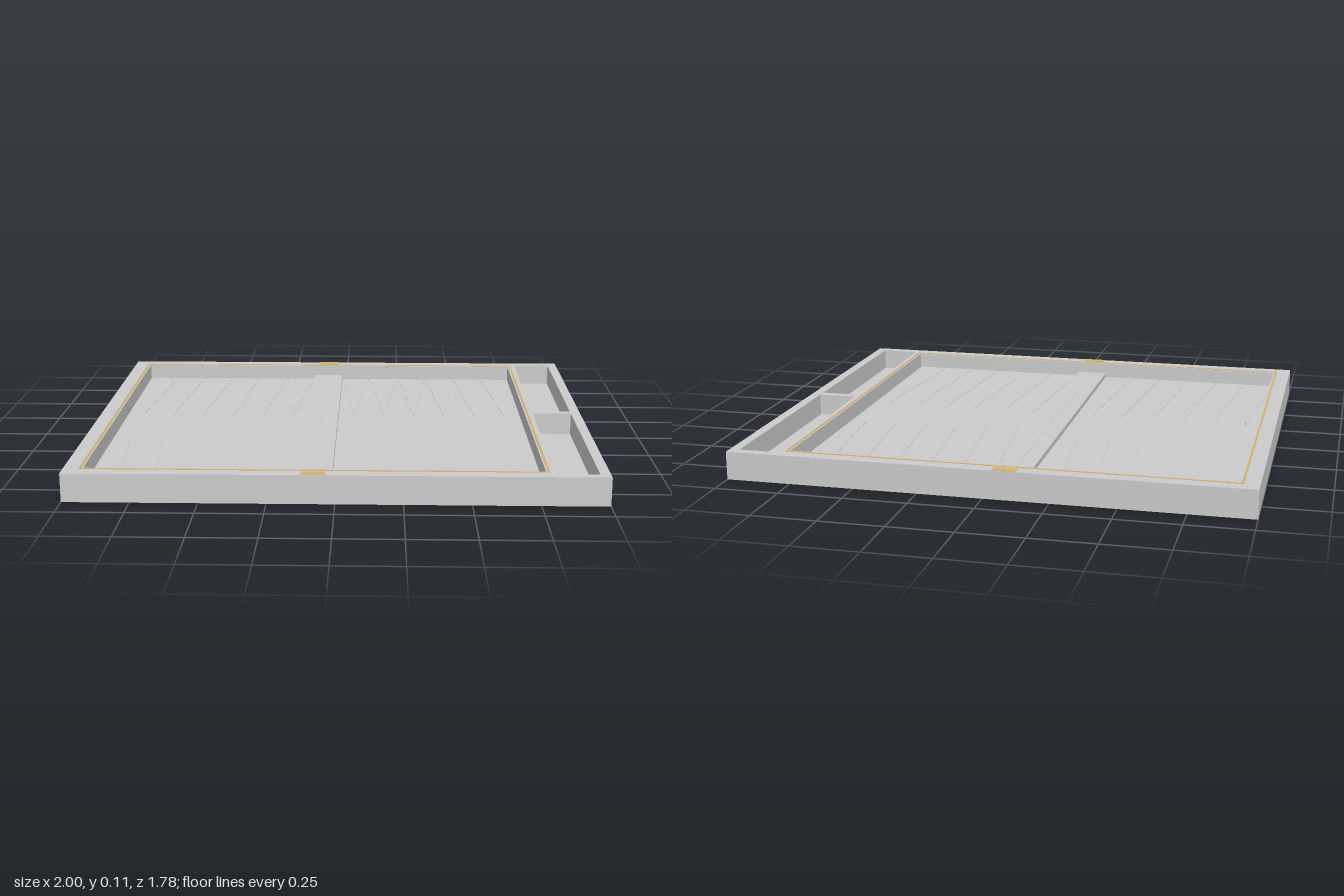
import * as THREE from 'three';

const grey = new THREE.MeshStandardMaterial({ color: 0xcccccc });
const brass = new THREE.MeshStandardMaterial({ color: 0xd2b470 });

// Main levels and the playing field's extents
const TOP = 0.11, FIELD_Y = 0.045, BAR_Y = 0.064, TRAY_Y = 0.022;
const FIELD = { x0: -0.927, x1: 0.768, z: 0.82 };
const BAR_MID = (FIELD.x0 + FIELD.x1) / 2;
const BAR = { x0: BAR_MID - 0.065, x1: BAR_MID + 0.065 };

// Counter-clockwise outline in plan
function rectangle(x0, x1, z0, z1, Type = THREE.Shape) {
  return new Type([[x0, z1], [x1, z1], [x1, z0], [x0, z0]].map(([x, z]) => new THREE.Vector2(x, -z)));
}

// Extrudes a plan outline upwards from y0 to y1
function slab(name, shape, y0, y1, material = grey) {
  const geometry = new THREE.ExtrudeGeometry(shape, { depth: y1 - y0, bevelEnabled: false });
  geometry.rotateX(-Math.PI / 2);
  const mesh = new THREE.Mesh(geometry, material);
  mesh.name = name;
  mesh.position.y = y0;
  return mesh;
}

function box(name, x0, x1, y0, y1, z0, z1, material = grey) {
  const mesh = new THREE.Mesh(new THREE.BoxGeometry(x1 - x0, y1 - y0, z1 - z0), material);
  mesh.name = name;
  mesh.position.set((x0 + x1) / 2, (y0 + y1) / 2, (z0 + z1) / 2);
  return mesh;
}

export function createModel() {
  const board = new THREE.Group();
  board.name = 'backgammonBoard';

  // Base plate, then the frame with the field and two checker trays cut out
  board.add(box('basePlate', -1, 1, 0, TRAY_Y, -0.89, 0.89));
  const outline = rectangle(-1, 1, -0.89, 0.89);
  outline.holes.push(
    rectangle(FIELD.x0, FIELD.x1, -FIELD.z, FIELD.z, THREE.Path),
    rectangle(0.802, 0.961, -0.852, -0.018, THREE.Path),
    rectangle(0.802, 0.961, 0.018, 0.852, THREE.Path)
  );
  board.add(slab('frame', outline, TRAY_Y, TOP));

  // Playing field
  board.add(box('playingField', FIELD.x0, FIELD.x1, TRAY_Y, FIELD_Y, -FIELD.z, FIELD.z));

  // Central bar with its fold strip
  board.add(box('bar', BAR.x0, BAR.x1, FIELD_Y, BAR_Y, -FIELD.z, FIELD.z));
  board.add(box('foldStrip', BAR_MID - 0.002, BAR_MID + 0.002, BAR_Y, BAR_Y + 0.001, -FIELD.z, FIELD.z));

  // Twenty-four thin points, six in each quadrant
  const points = new THREE.Group();
  points.name = 'points';
  for (const [x0, x1] of [[FIELD.x0, BAR.x0], [BAR.x1, FIELD.x1]]) {
    const width = (x1 - x0) / 6;
    for (const side of [-1, 1]) {
      for (let i = 0; i < 6; i++) {
        const left = x0 + i * width;
        const triangle = new THREE.Shape([
          new THREE.Vector2(left + 0.004, -side * FIELD.z),
          new THREE.Vector2(left + width - 0.004, -side * FIELD.z),
          new THREE.Vector2(left + width / 2, -side * 0.14)
        ]);
        points.add(slab('point', triangle, FIELD_Y, FIELD_Y + 0.0015));
      }
    }
  }
  board.add(points);

  // Brass line inlaid around the field
  const inlay = rectangle(-0.942, 0.783, -0.836, 0.836);
  inlay.holes.push(rectangle(-0.934, 0.775, -0.828, 0.828, THREE.Path));
  board.add(slab('inlay', inlay, TOP - 0.003, TOP + 0.002, brass));

  // Brass hinge plates at both ends of the fold
  for (const side of [-1, 1]) {
    const plate = box('hingePlate', BAR_MID - 0.045, BAR_MID + 0.045, TOP - 0.003, TOP + 0.002, -0.019, 0.019, brass);
    plate.position.z = side * 0.869;
    board.add(plate);
  }

  return board;
}
